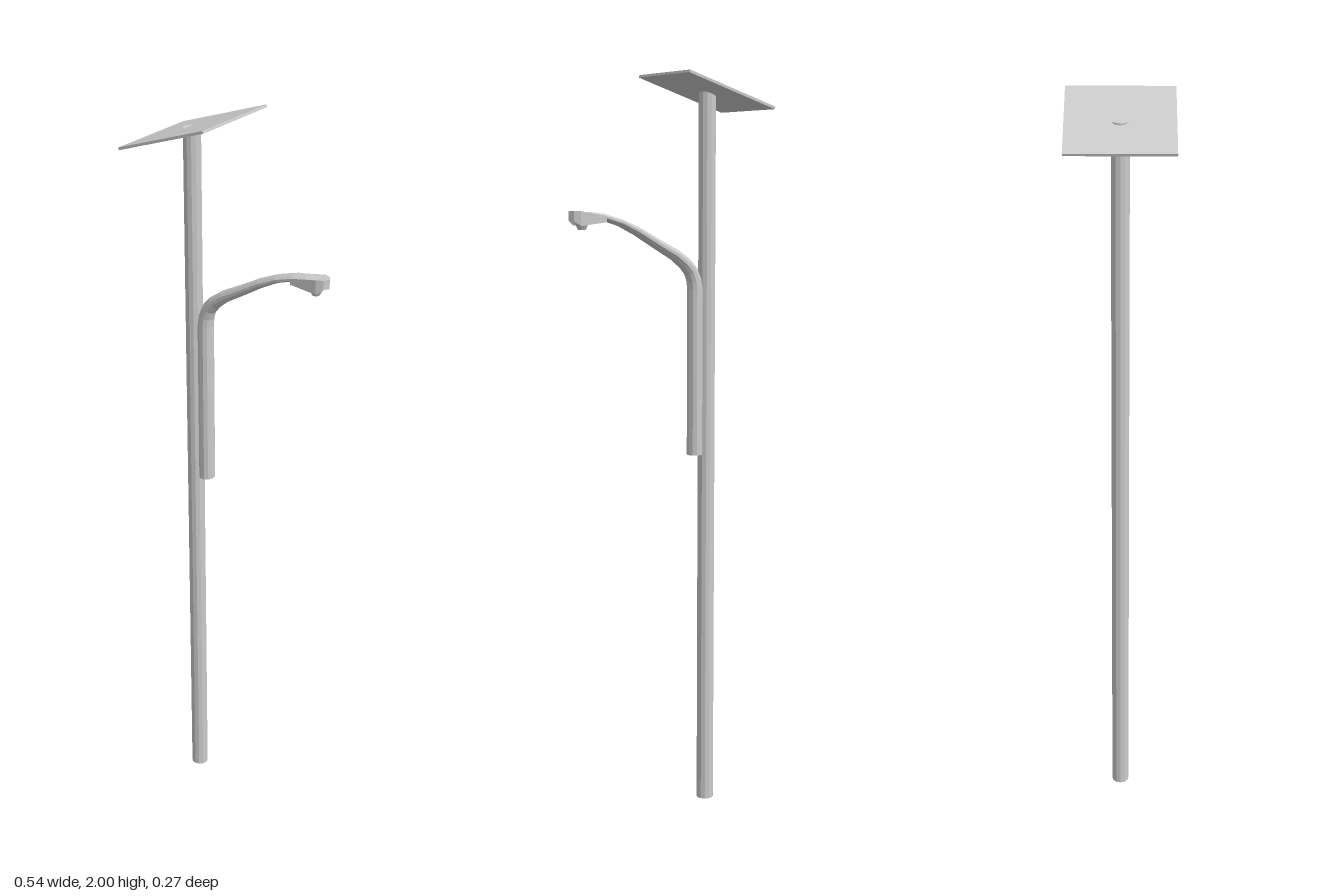
import * as THREE from 'three';

const metal = new THREE.MeshStandardMaterial({ color: 0xcccccc, flatShading: true, side: THREE.DoubleSide });

function part(name, geometry, x = 0, y = 0, z = 0) {
  const mesh = new THREE.Mesh(geometry, metal);
  mesh.name = name;
  mesh.position.set(x, y, z);
  return mesh;
}

// Sweeps an oval section along a path in the xy plane; stations are [x, y, halfThickness]
function ovalSweep(stations, halfWidth, sides) {
  const pos = [], index = [];
  const n = stations.length;
  stations.forEach(([x, y, t], i) => {
    const a = stations[Math.max(i - 1, 0)], b = stations[Math.min(i + 1, n - 1)];
    const dir = new THREE.Vector2(b[0] - a[0], b[1] - a[1]).normalize();
    for (let k = 0; k < sides; k++) {
      const ang = ((k + 0.5) / sides) * Math.PI * 2;
      const u = Math.cos(ang) * t;
      pos.push(x - dir.y * u, y + dir.x * u, Math.sin(ang) * halfWidth);
    }
  });
  for (let i = 0; i < n - 1; i++) {
    for (let k = 0; k < sides; k++) {
      const a = i * sides + k, b = i * sides + (k + 1) % sides;
      index.push(a, a + sides, b, b, a + sides, b + sides);
    }
  }
  for (let k = 1; k < sides - 1; k++) {
    const e = (n - 1) * sides;
    index.push(0, k, k + 1, e, e + k + 1, e + k);
  }
  const g = new THREE.BufferGeometry();
  g.setAttribute('position', new THREE.Float32BufferAttribute(pos, 3));
  g.setIndex(index);
  g.computeVertexNormals();
  return g;
}

export function createModel() {
  const group = new THREE.Group();
  group.name = 'solarStreetLamp';

  // Main post
  group.add(part('post', new THREE.CylinderGeometry(0.023, 0.023, 1.955, 12), -0.145, 0.9775, 0));

  // Tilted panel on top of the post
  const panel = part('solarPanel', new THREE.BoxGeometry(0.275, 0.007, 0.272), -0.142, 1.955, 0);
  panel.rotation.z = Math.atan2(0.088, 0.26);
  group.add(panel);

  // Bracket arm: upright against the post, then sweeping out and flattening
  group.add(part('bracketArm', ovalSweep([
    [-0.108, 0.98, 0.021], [-0.108, 1.43, 0.021], [-0.105, 1.455, 0.02],
    [-0.095, 1.48, 0.019], [-0.077, 1.501, 0.018], [-0.045, 1.525, 0.016],
    [0.01, 1.555, 0.014], [0.07, 1.589, 0.012], [0.12, 1.612, 0.01],
    [0.17, 1.627, 0.009], [0.21, 1.633, 0.008], [0.245, 1.635, 0.007],
  ], 0.023, 12)));

  // Lamp head: plan outline with a chamfered nose, underside sloped at both ends
  const plan = new THREE.Shape([
    [0.17, -0.023], [0.245, -0.023], [0.262, -0.015], [0.27, 0],
    [0.262, 0.015], [0.245, 0.023], [0.17, 0.023],
  ].map(([x, z]) => new THREE.Vector2(x, z)));
  const head = new THREE.ExtrudeGeometry(plan, { depth: 1, bevelEnabled: false });
  head.rotateX(-Math.PI / 2);
  const p = head.attributes.position;
  for (let i = 0; i < p.count; i++) {
    const x = p.getX(i);
    const top = x < 0.2 ? 1.63 : 1.643;
    const bottom = x < 0.2 ? 1.614 : x < 0.25 ? 1.605 : 1.618;
    p.setY(i, p.getY(i) > 0.5 ? top : bottom);
  }
  head.computeVertexNormals();
  group.add(part('lampHead', head));

  // Sensor under the head
  group.add(part('sensor', new THREE.CylinderGeometry(0.019, 0.010, 0.018, 10), 0.232, 1.603, 0));

  return group;
}
